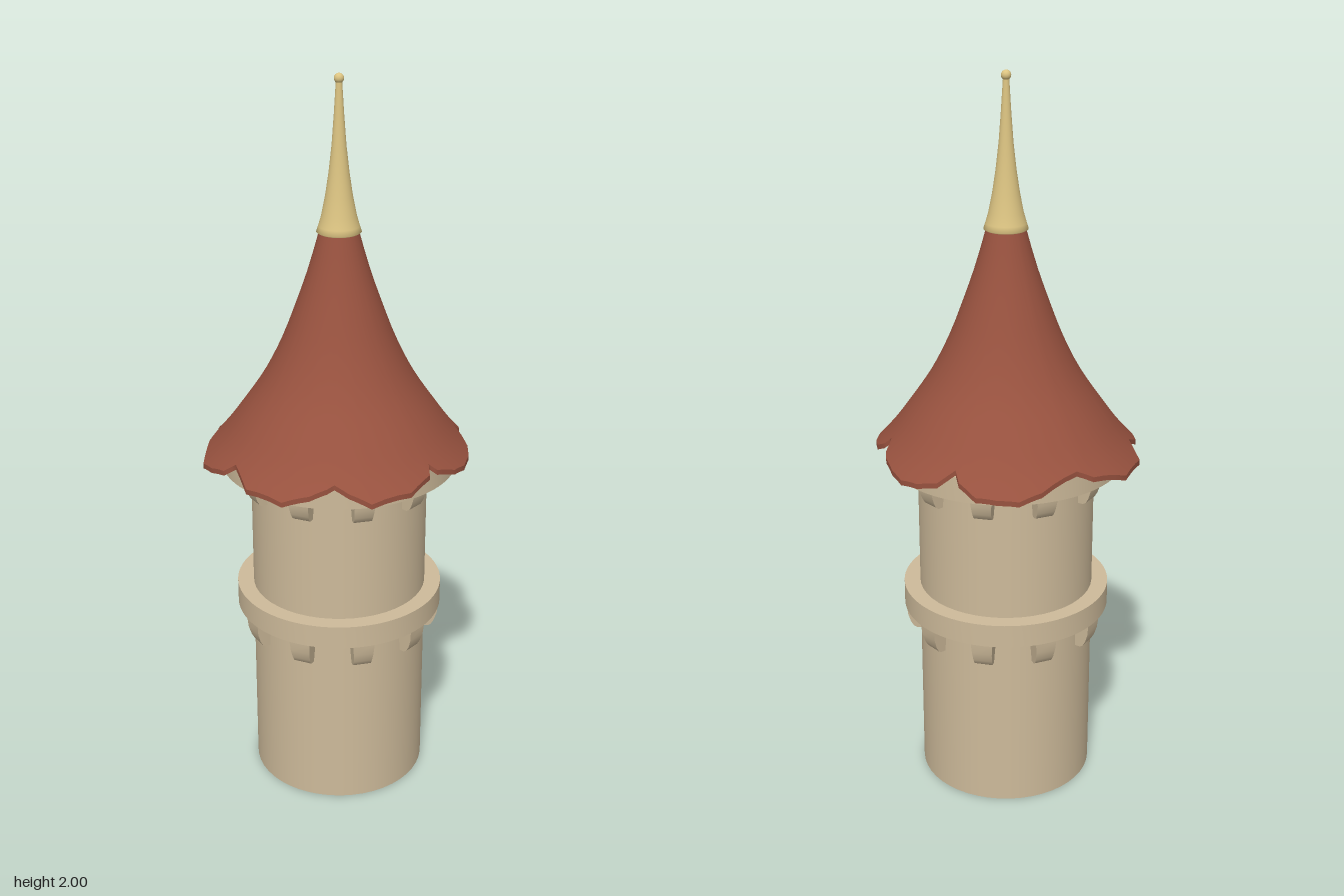
import * as THREE from 'three';
import { toCreasedNormals } from 'three/addons/utils/BufferGeometryUtils.js';

const stone = new THREE.MeshStandardMaterial({ color: 0xcdba9a, side: THREE.DoubleSide });
stone.name = 'stone';
const tile = new THREE.MeshStandardMaterial({ color: 0x98523f, side: THREE.DoubleSide });
tile.name = 'roofTile';
const gold = new THREE.MeshStandardMaterial({ color: 0xdcc482, side: THREE.DoubleSide });
gold.name = 'paleGold';

// Plan of the ragged roof edge, as x, z pairs
const RIM = [
  -.117, -.357, -.005, -.351, .036, -.33, .15, -.324, .21, -.305, .25, -.268, .286, -.223,
  .294, -.167, .284, -.142, .325, -.117, .35, -.066, .36, -.01, .35, .041, .327, .099,
  .312, .12, .28, .136, .288, .16, .282, .2, .255, .243, .21, .285, .162, .307, .1, .315,
  .079, .305, .069, .326, -.007, .353, -.12, .342, -.163, .3, -.186, .268, -.205, .264,
  -.248, .247, -.306, .206, -.351, .101, -.335, .018, -.357, -.01, -.364, -.068,
  -.359, -.126, -.293, -.217, -.236, -.247, -.22, -.305,
];
const OFFSET = { x: -.003, z: -.005 }; // tower axis

function add(parent, name, geometry, material) {
  const mesh = new THREE.Mesh(geometry, material);
  mesh.name = name;
  parent.add(mesh);
  return mesh;
}

const points = (pairs) => pairs.map(([x, y]) => new THREE.Vector2(x, y));

// Flat band with a round hole, lying level between two heights
function bandGeometry(outer, inner, y0, y1) {
  const shape = new THREE.Shape().absarc(0, 0, outer, 0, Math.PI * 2);
  shape.holes.push(new THREE.Path().absarc(0, 0, inner, 0, Math.PI * 2, true));
  const g = new THREE.ExtrudeGeometry(shape, { depth: y1 - y0, bevelEnabled: false, curveSegments: 48 });
  g.rotateX(-Math.PI / 2).translate(0, y0, 0);
  return toCreasedNormals(g, 0.6);
}

// Rounded bracket, slightly narrower at the foot
function corbelGeometry() {
  const shape = new THREE.Shape(points([
    [.23, 0], [.256, 0], [.265, .006], [.273, .02], [.281, .045], [.284, .075], [.23, .075],
  ]));
  const g = new THREE.ExtrudeGeometry(shape, { depth: .06, bevelEnabled: false });
  g.translate(0, 0, -.03);
  const p = g.attributes.position;
  for (let i = 0; i < p.count; i++) p.setZ(i, p.getZ(i) * (.8 + .2 * p.getY(i) / .075));
  return toCreasedNormals(g, 0.6);
}

// Height of the flared roof at a given radius
const flare = new THREE.SplineCurve(points([
  [.05, 1.605], [.08, 1.5], [.115, 1.4], [.154, 1.3], [.205, 1.2], [.273, 1.1], [.32, 1.037], [.37, .982],
])).getPoints(60);
function roofHeight(r) {
  let k = 1;
  while (k < flare.length - 1 && flare[k].x < r) k++;
  const a = flare[k - 1], b = flare[k];
  return a.y + (b.y - a.y) * (r - a.x) / (b.x - a.x);
}

// Roof shell: outer skin, edge and inner skin as strips around the rim plan
function roofGeometry() {
  const columns = [], n = RIM.length / 2, split = 3, rows = 18, thick = .014;
  for (let i = 0; i < n; i++) {
    const j = (i + 1) % n;
    for (let s = 0; s < split; s++) {
      const x = THREE.MathUtils.lerp(RIM[2 * i], RIM[2 * j], s / split) - OFFSET.x;
      const z = THREE.MathUtils.lerp(RIM[2 * i + 1], RIM[2 * j + 1], s / split) - OFFSET.z;
      columns.push({ angle: Math.atan2(z, x), radius: Math.hypot(x, z) });
    }
  }
  const position = [], index = [], m = columns.length;
  const strip = (count, at) => {
    const base = position.length / 3;
    for (let j = 0; j <= count; j++) {
      for (const c of columns) {
        const [t, drop] = at(j);
        const r = THREE.MathUtils.lerp(.05, c.radius, t);
        position.push(r * Math.cos(c.angle), roofHeight(r) - drop, r * Math.sin(c.angle));
      }
    }
    for (let j = 0; j < count; j++) {
      for (let i = 0; i < m; i++) {
        const a = base + j * m + i, b = base + j * m + (i + 1) % m;
        index.push(a, b, a + m, b, b + m, a + m);
      }
    }
  };
  strip(rows, (j) => [j / rows, 0]);
  strip(1, (j) => [1, j * thick]);
  strip(rows, (j) => [1 - j / rows, thick]);
  const g = new THREE.BufferGeometry();
  g.setAttribute('position', new THREE.Float32BufferAttribute(position, 3));
  g.setIndex(index);
  g.computeVertexNormals();
  return g;
}

export function createModel() {
  const tower = new THREE.Group();
  tower.name = 'tower';
  tower.position.set(OFFSET.x, 0, OFFSET.z);

  // Hollow shaft and its two bands
  add(tower, 'shaft', new THREE.CylinderGeometry(.243, .243, .96, 48, 1, true).translate(0, .48, 0), stone);
  add(tower, 'middleBand', bandGeometry(.288, .24, .52, .585), stone);
  add(tower, 'upperBand', bandGeometry(.322, .293, .955, 1.022), stone);

  // Ten corbels under each band
  const corbel = corbelGeometry();
  for (const [name, y] of [['lowerCorbels', .445], ['upperCorbels', .882]]) {
    const ring = new THREE.Group();
    ring.name = name;
    ring.position.y = y;
    for (let i = 0; i < 10; i++) add(ring, 'corbel', corbel, stone).rotation.y = i * Math.PI / 5;
    tower.add(ring);
  }

  add(tower, 'roof', roofGeometry(), tile);

  // Spire with a small ball on top
  const spire = points([
    [.05, 1.592], [.059, 1.597], [.054, 1.612], [.046, 1.64], [.036, 1.69], [.027, 1.75],
    [.019, 1.82], [.013, 1.9], [.008, 1.98],
  ]);
  add(tower, 'spire', new THREE.LatheGeometry(spire, 40), gold);
  add(tower, 'spireBall', new THREE.SphereGeometry(.013, 20, 14).translate(0, 1.987, 0), gold);

  const model = new THREE.Group();
  model.name = 'roundTower';
  model.add(tower);
  return model;
}
